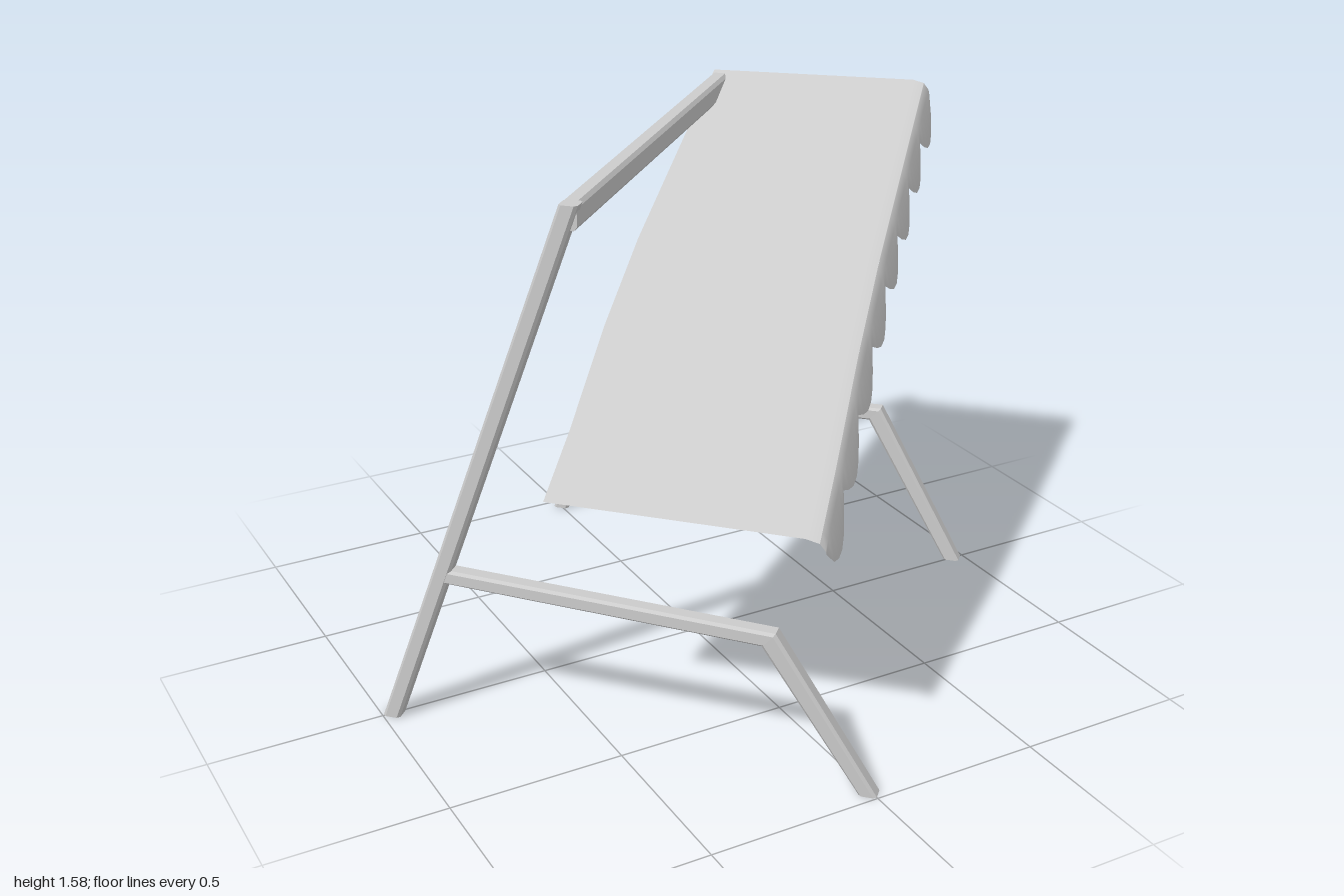
import * as THREE from 'three';

const V = (x, y, z) => new THREE.Vector3(x, y, z);
const UP = V(0, 1, 0);
const FWD = V(1, 0, 1).normalize(); // the frame stands turned by 45 degrees
const SIDE = V(1, 0, -1).normalize();

// Chamfered beam through a list of [centre, half-axis u, half-axis v] joints
function beam(name, joints, material) {
  const c = 0.68;
  const outline = [[1, -c], [1, c], [c, 1], [-c, 1], [-1, c], [-1, -c], [-c, -1], [c, -1]];
  const dir = joints[1][0].clone().sub(joints[0][0]);
  const sign = joints[0][1].clone().cross(joints[0][2]).dot(dir) < 0 ? -1 : 1;
  const pos = [], index = [], n = outline.length;
  for (const [p, u, v] of joints) {
    for (const [a, b] of outline) {
      pos.push(...p.clone().addScaledVector(u, a * sign).addScaledVector(v, b).toArray());
    }
  }
  for (let i = 0; i < joints.length - 1; i++) {
    for (let j = 0; j < n; j++) {
      const a = i * n + j, b = i * n + (j + 1) % n;
      index.push(a, b, b + n, a, b + n, a + n);
    }
  }
  const last = (joints.length - 1) * n;
  for (let j = 1; j < n - 1; j++) {
    index.push(0, j + 1, j, last, last + j, last + j + 1);
  }
  return finish(name, pos, index, material, true);
}

function finish(name, pos, index, material, flat) {
  let g = new THREE.BufferGeometry();
  g.setAttribute('position', new THREE.Float32BufferAttribute(pos, 3));
  g.setIndex(index);
  if (flat) g = g.toNonIndexed();
  g.computeVertexNormals();
  const mesh = new THREE.Mesh(g, material);
  mesh.name = name;
  return mesh;
}

// Open sheet through rows of points
function sheet(name, rows, material) {
  const w = rows[0].length, index = [];
  for (let i = 0; i < rows.length - 1; i++) {
    for (let j = 0; j < w - 1; j++) {
      const a = i * w + j;
      index.push(a, a + 1, a + w, a + 1, a + w + 1, a + w);
    }
  }
  return finish(name, rows.flat().flatMap(p => p.toArray()), index, material, false);
}

// Upward bulge of the canopy along its length
const BULGE = [[0, 0], [0.13, 0.012], [0.32, 0.06], [0.51, 0.068], [1, 0]];
function bulge(t) {
  for (let i = 1; i < BULGE.length; i++) {
    const [t0, b0] = BULGE[i - 1], [t1, b1] = BULGE[i];
    if (t <= t1) return b0 + (b1 - b0) * (t - t0) / (t1 - t0);
  }
  return 0;
}
function along(a, b, t) {
  const p = a.clone().lerp(b, t);
  p.y += bulge(t);
  return p;
}

export function createModel() {
  const group = new THREE.Group();
  const grey = new THREE.MeshStandardMaterial({ color: 0xcccccc });
  const cloth = new THREE.MeshStandardMaterial({ color: 0xcccccc, side: THREE.DoubleSide });
  const u = SIDE.clone().multiplyScalar(0.025);
  const f = FWD.clone().multiplyScalar(0.025);
  const h = UP.clone().multiplyScalar(0.021);

  // Side frames: leaning post, arm and bent front leg
  const sides = [
    { name: 'right', foot: V(-0.965, 0, 0), top: V(-0.565, 1.55, 0.405),
      arm: V(-0.84, 0.472, 0.125), elbow: V(-0.205, 0.432, 0.78), toe: V(-0.005, 0, 0.965) },
    { name: 'left', foot: V(0.01, 0, -0.965), top: V(0.41, 1.555, -0.565),
      arm: V(0.135, 0.482, -0.84), elbow: V(0.775, 0.482, -0.2), toe: V(0.963, 0, -0.005) },
  ];
  for (const s of sides) {
    group.add(beam(s.name + 'Post', [[s.foot, u, f], [s.top, u, f]], grey));
    group.add(beam(s.name + 'ArmAndFrontLeg',
      [[s.arm, u, h], [s.elbow, u, f.clone().multiplyScalar(0.75).add(h)], [s.toe, u, f]], grey));
  }

  // Top crossbar
  const barHeight = UP.clone().multiplyScalar(0.034);
  group.add(beam('crossbar', [
    [V(-0.575, 1.515, 0.405), f, barHeight],
    [V(0.41, 1.525, -0.57), f, barHeight],
  ], grey));

  // Sagging canopy with a slightly rounded front edge
  const backA = V(-0.68, 0.785, 0.44), backB = V(0.385, 1.565, -0.575);
  const frontA = V(-0.155, 0.755, 0.925), frontB = V(0.84, 1.568, -0.115);
  const rows = BULGE.map(([t]) => {
    const back = along(backA, backB, t), front = along(frontA, frontB, t);
    const ridge = back.clone().lerp(front, 0.95);
    ridge.y += 0.008;
    return [back, ridge, front];
  });
  group.add(sheet('canopy', rows, cloth));

  // Scalloped valance hanging from the front edge
  const scallops = 8, steps = 6, total = scallops * steps;
  const hang = V(0.27, -1, 0.04);
  const valance = [];
  for (let i = 0; i <= total; i++) {
    const t = i / total;
    const end = i === 0 || i === total;
    const depth = end ? 0.03 : 0.052 + 0.07 * Math.sin(Math.PI * (i % steps) / steps);
    const p = along(frontA, frontB, t);
    const lip = p.clone().addScaledVector(hang, 0.02).addScaledVector(FWD, 0.01);
    valance.push([p, lip, p.clone().addScaledVector(hang, depth).addScaledVector(FWD, 0.01)]);
  }
  group.add(sheet('valance', valance, cloth));

  return group;
}
